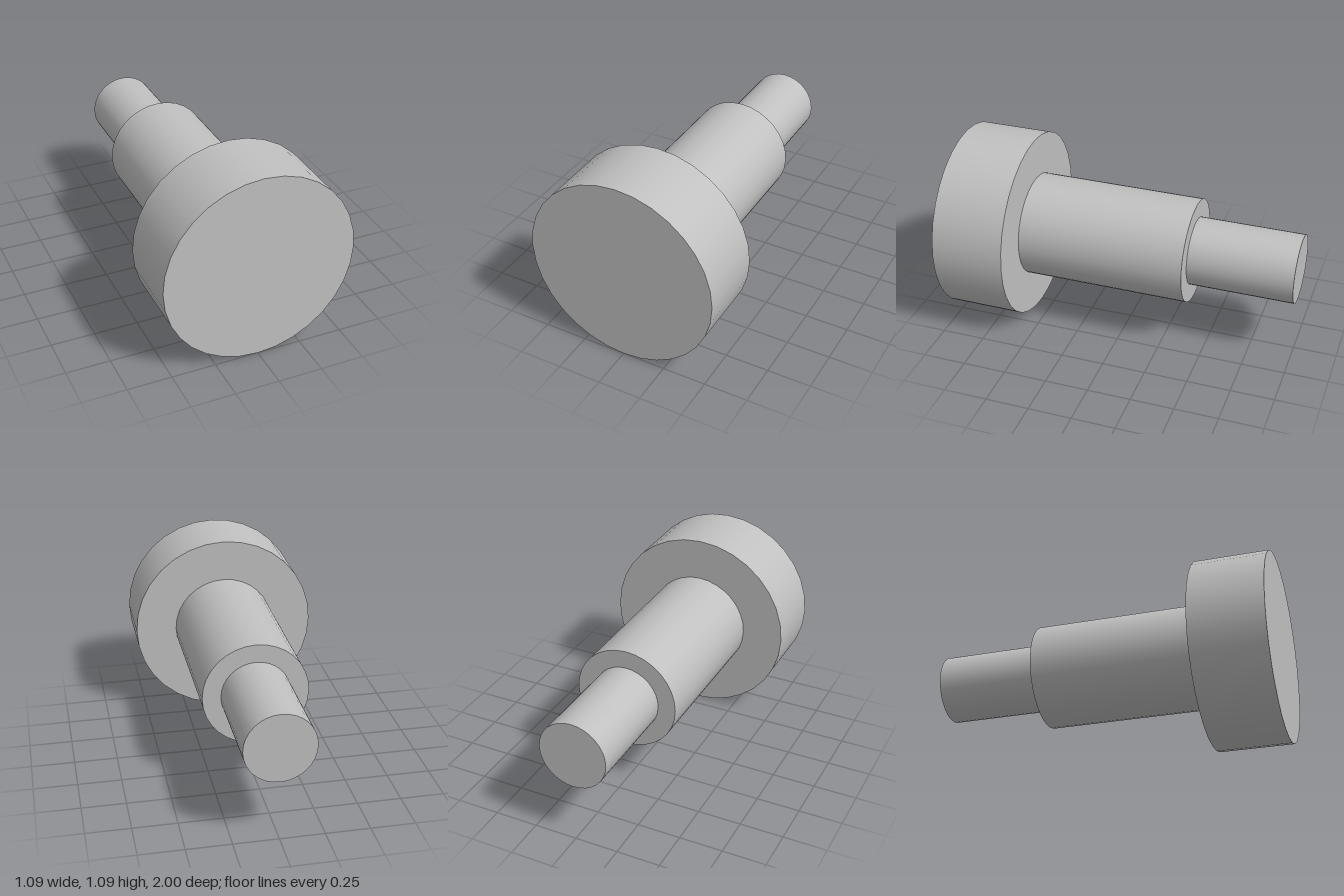
import * as THREE from 'three';

const AXIS_Y = 0.545; // height of the common axis

export function createModel() {
  const group = new THREE.Group();
  const steel = new THREE.MeshStandardMaterial({ color: 0xc0c0c0 });
  steel.name = 'grey steel';

  // Solid round section along z, from its back end to its front end
  function section(name, radius, back, front) {
    const geometry = new THREE.CylinderGeometry(radius, radius, front - back, 32);
    geometry.rotateX(Math.PI / 2);
    const mesh = new THREE.Mesh(geometry, steel);
    mesh.name = name;
    mesh.position.set(0, AXIS_Y, (front + back) / 2);
    group.add(mesh);
  }

  section('head', 0.545, 0.578, 1);
  section('shoulder', 0.301, -0.393, 0.578);
  section('endPin', 0.197, -1, -0.393);

  return group;
}
